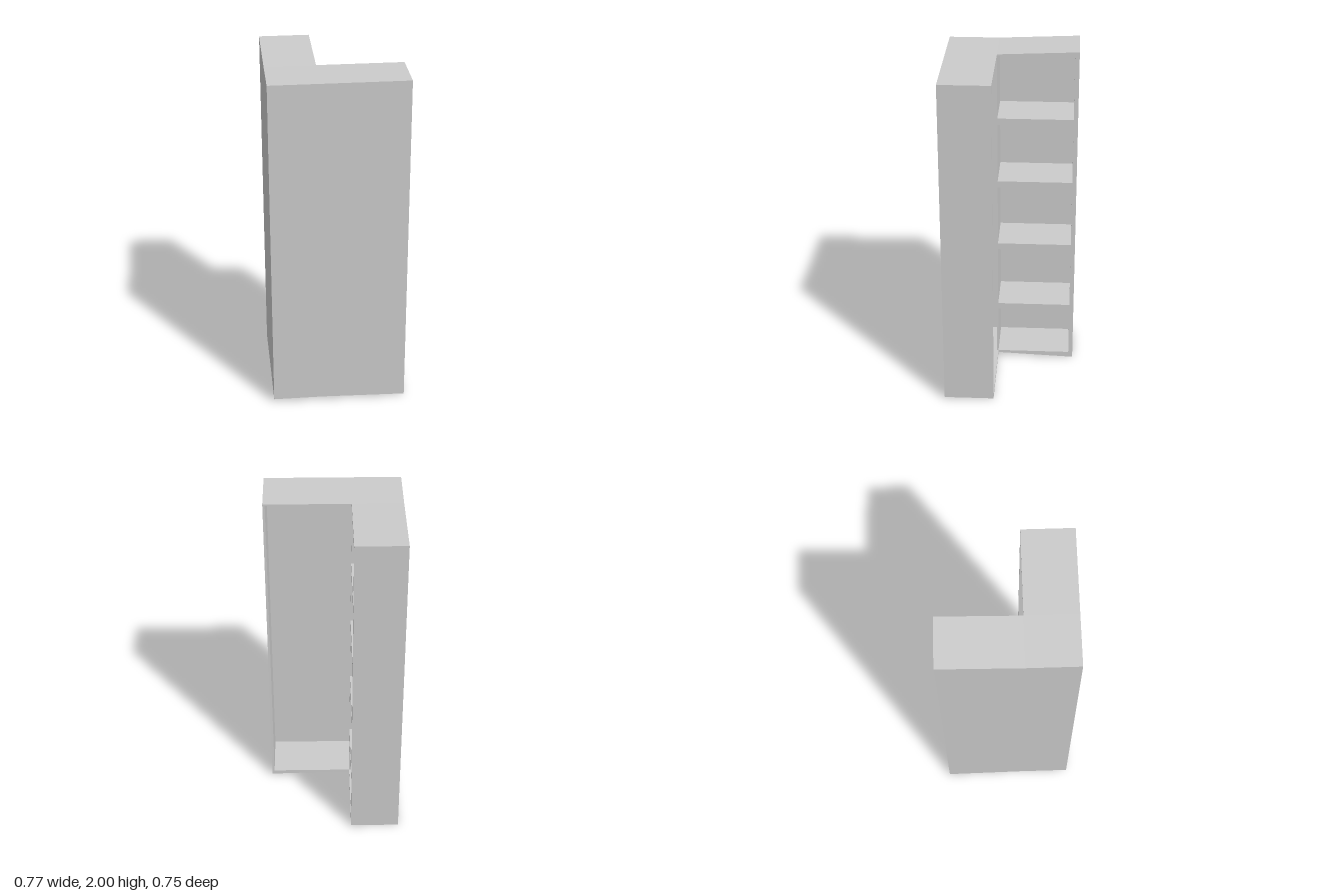
import * as THREE from 'three';

// Footprint limits of the L-shaped cabinet
const L = -0.385, R = 0.385, BACK = -0.375, FRONT = 0.375;
const IX = -0.10, IZ = 0.085;      // inner corner of the L
const FLOOR = 0.035, CEIL = 1.97;  // inner floor and ceiling heights

// Slightly sloping outer bottom and top
function bottomY(x, z) {
  if (z < IZ) return 0.02 * (z - BACK) / (IZ - BACK);
  if (x > IX) return 0.02 - 0.012 * (x - IX) / (R - IX);
  return 0.02;
}
function topY(x, z) {
  return z < IZ ? 1.98 + 0.02 * (IZ - z) / (IZ - BACK) : 1.98;
}

export function createModel() {
  const group = new THREE.Group();
  const material = new THREE.MeshStandardMaterial({ color: 0xcccccc });

  // Box between limits; outer faces can follow the slope of a rule
  function panel(name, x0, x1, y0, y1, z0, z1) {
    const geo = new THREE.BoxGeometry(x1 - x0, 1, z1 - z0);
    geo.translate((x0 + x1) / 2, 0, (z0 + z1) / 2);
    const p = geo.attributes.position;
    for (let i = 0; i < p.count; i++) {
      const y = p.getY(i) < 0 ? y0 : y1;
      p.setY(i, typeof y === 'function' ? y(p.getX(i), p.getZ(i)) : y);
    }
    geo.computeVertexNormals();
    const mesh = new THREE.Mesh(geo, material);
    mesh.name = name;
    group.add(mesh);
  }

  // Floor and ceiling slabs: shelf wing, corner, wardrobe wing
  const wings = [
    ['shelfWing', L, IX, BACK, IZ],
    ['corner', L, IX, IZ, FRONT],
    ['wardrobeWing', IX, R, IZ, FRONT],
  ];
  for (const [name, x0, x1, z0, z1] of wings) {
    panel(name + 'Floor', x0, x1, bottomY, FLOOR, z0, z1);
    panel(name + 'Ceiling', x0, x1, CEIL, topY, z0, z1);
  }

  // Outer walls
  panel('longSideWall', L, -0.37, FLOOR, CEIL, BACK, FRONT);
  panel('frontWall', -0.37, R, FLOOR, CEIL, 0.36, FRONT);
  panel('wardrobeEndWall', 0.372, R, FLOOR, CEIL, IZ, 0.36);
  panel('shelfEndWall', -0.37, IX, FLOOR, CEIL, BACK, -0.35);

  // Partition between the shelves and the tall wardrobe space
  panel('partition', -0.37, IX, FLOOR, CEIL, IZ, IZ + 0.01);

  // Shelves of the open wing
  const shelves = [[0.335, 0.375], [0.75, 0.79], [1.16, 1.2], [1.557, 1.595]];
  for (const [y0, y1] of shelves) panel('shelf', -0.37, IX, y0, y1, -0.35, IZ);

  return group;
}
